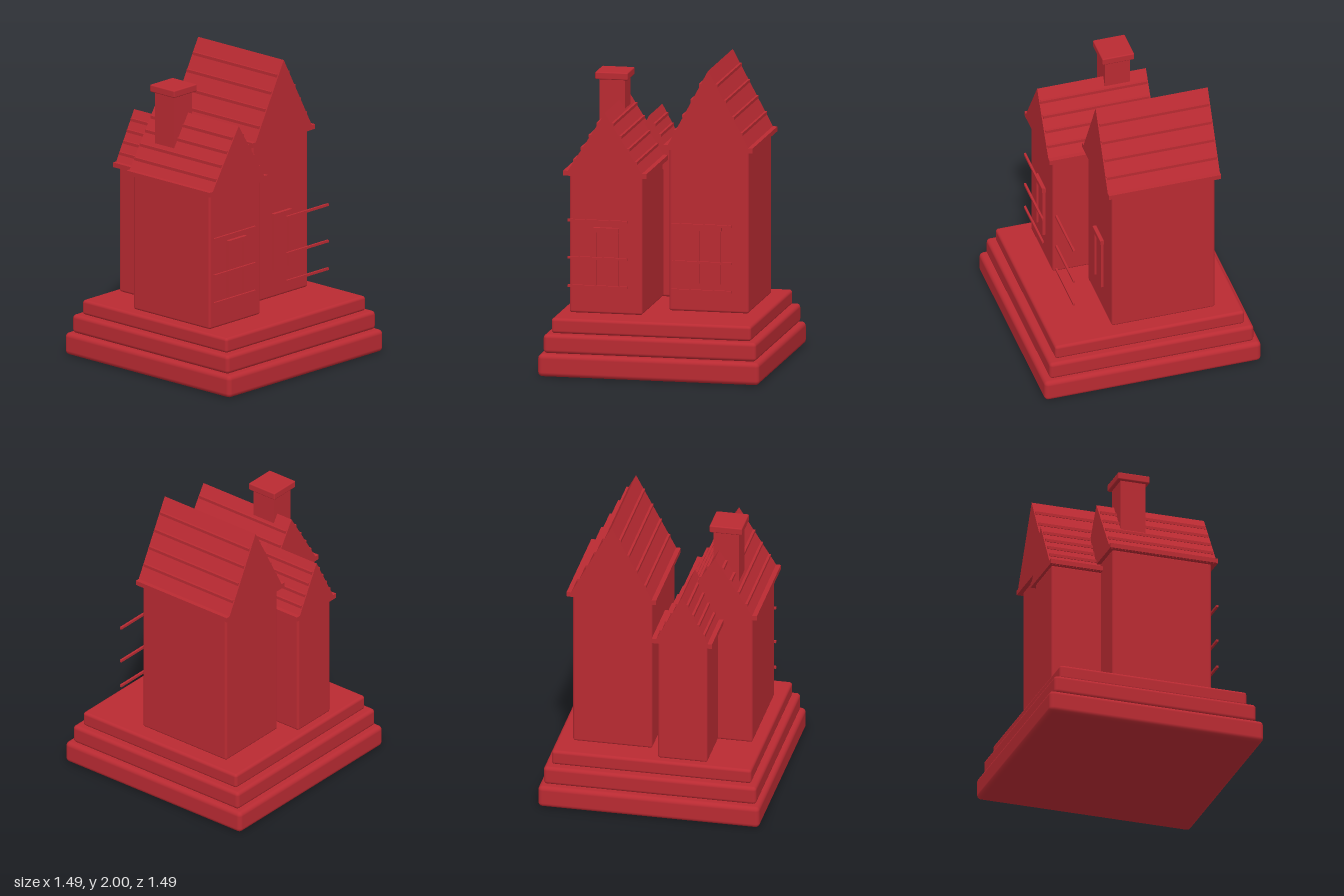
import * as THREE from 'three';
import { RoundedBoxGeometry } from 'three/addons/geometries/RoundedBoxGeometry.js';

const material = new THREE.MeshStandardMaterial({ color: 0xb92a32 });

function add(parent, name, geometry, x = 0, y = 0, z = 0) {
  const mesh = new THREE.Mesh(geometry, material);
  mesh.name = name;
  mesh.position.set(x, y, z);
  parent.add(mesh);
  return mesh;
}

// Boxes given by their limits on each axis; a radius rounds the edges
function block(parent, name, [x0, x1], [y0, y1], [z0, z1], radius = 0) {
  const size = [x1 - x0, y1 - y0, z1 - z0];
  const geometry = radius
    ? new RoundedBoxGeometry(...size, 3, radius)
    : new THREE.BoxGeometry(...size);
  return add(parent, name, geometry, (x0 + x1) / 2, (y0 + y1) / 2, (z0 + z1) / 2);
}

// Gabled roof with horizontal battens along both slopes
function addRoof(parent, { x, half, base, apex, z }) {
  const roof = new THREE.Group();
  roof.name = 'roof';
  parent.add(roof);
  const gable = new THREE.Shape();
  gable.moveTo(-half, base);
  gable.lineTo(half, base);
  gable.lineTo(0, apex);
  gable.closePath();
  const prism = new THREE.ExtrudeGeometry(gable, { depth: z[1] - z[0], bevelEnabled: false });
  add(roof, 'roofGable', prism, x, 0, z[0]);

  const rise = apex - base;
  for (let i = 0; i < 5; i++) {
    const t = i / 5;
    const size = i === 0 ? 0.032 : 0.02;
    const y = base + 0.017 + t * (rise - 0.01);
    const offset = half * (1 - (y - base) / rise) + (i === 0 ? 0.006 : 0);
    for (const side of [-1, 1]) {
      const cx = x + side * offset;
      const inset = i === 0 ? 0 : 0.008;
      block(roof, i === 0 ? 'eave' : 'roofBatten', [cx - size / 2, cx + size / 2],
        [y - size / 2, y + size / 2], [z[0] + inset, z[1] - inset]);
    }
  }
}

// Window with jambs, lintel and a thin pane on the wall at depth z
function addWindow(parent, x, z) {
  const frame = new THREE.Group();
  frame.name = 'window';
  parent.add(frame);
  block(frame, 'windowPane', [x - 0.065, x + 0.065], [0.57, 0.93], [z - 0.01, z + 0.006]);
  for (const side of [-1, 1]) {
    const cx = x + side * 0.071;
    block(frame, 'windowJamb', [cx - 0.012, cx + 0.012], [0.57, 0.93], [z - 0.01, z + 0.02]);
  }
  block(frame, 'windowLintel', [x - 0.087, x + 0.087], [0.925, 0.957], [z - 0.01, z + 0.025]);
}

// Thin horizontal rails standing in front of the houses
function addRails(parent, x0, x1) {
  for (const y of [0.565, 0.755, 1.005]) {
    block(parent, 'frontRail', [x0, x1], [y - 0.008, y + 0.008], [0.463, 0.477]);
  }
}

function addHouse(parent, name, { x, y, z, roof }) {
  const house = new THREE.Group();
  house.name = name;
  parent.add(house);
  block(house, 'walls', x, y, z, 0.016);
  addRoof(house, roof);
  return house;
}

export function createModel() {
  const model = new THREE.Group();
  model.name = 'houseGroup';

  // Stepped plinth
  const plinth = new THREE.Group();
  plinth.name = 'plinth';
  model.add(plinth);
  for (const [w, d, y0, y1, r] of [
    [0.745, 0.745, 0, 0.15, 0.03],
    [0.716, 0.703, 0.15, 0.276, 0.025],
    [0.672, 0.652, 0.276, 0.377, 0.02],
  ]) {
    block(plinth, 'plinthStep', [-w, w], [y0, y1], [-d, d], r);
  }

  // Front house with chimney
  const front = addHouse(model, 'frontHouse', {
    x: [-0.597, -0.107], y: [0.377, 1.31], z: [-0.26, 0.43],
    roof: { x: -0.352, half: 0.27, base: 1.3, apex: 1.73, z: [-0.287, 0.462] },
  });
  addWindow(front, -0.35, 0.43);
  addRails(front, -0.6, -0.2);
  block(front, 'chimney', [-0.488, -0.316], [1.3, 1.875], [-0.165, 0.007]);
  block(front, 'chimneyCap', [-0.512, -0.292], [1.867, 1.917], [-0.19, 0.03], 0.008);

  // Tall house
  const tall = addHouse(model, 'tallHouse', {
    x: [0.03, 0.565], y: [0.377, 1.48], z: [-0.48, 0.23],
    roof: { x: 0.298, half: 0.288, base: 1.46, apex: 2, z: [-0.512, 0.26] },
  });
  addWindow(tall, 0.298, 0.23);
  addRails(tall, 0.1, 0.5);

  // Small house at the back
  addHouse(model, 'backHouse', {
    x: [-0.367, -0.033], y: [0.377, 1.245], z: [-0.603, -0.225],
    roof: { x: -0.2, half: 0.19, base: 1.235, apex: 1.59, z: [-0.623, -0.205] },
  });

  return model;
}
